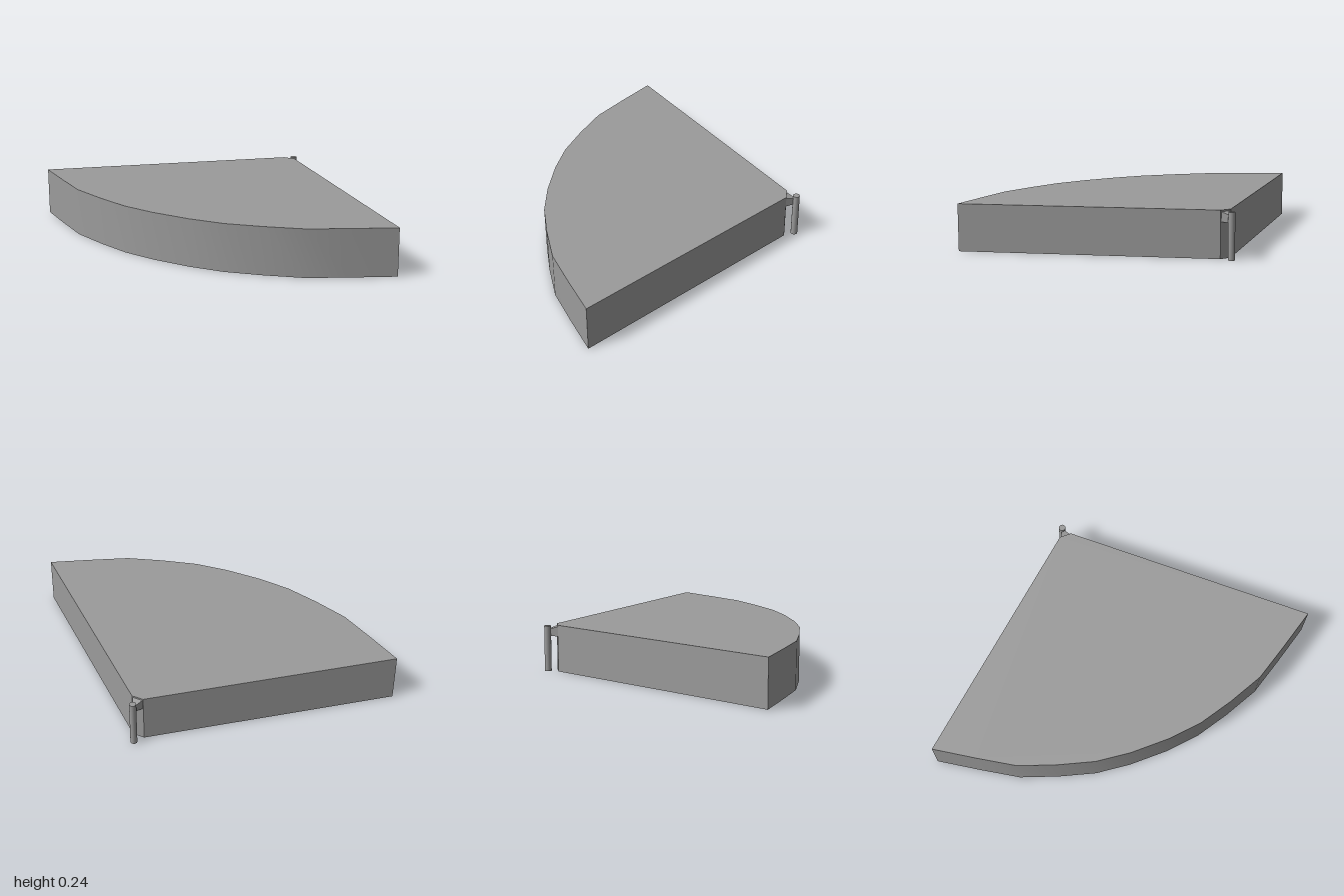
import * as THREE from 'three';
import { toCreasedNormals } from 'three/addons/utils/BufferGeometryUtils.js';

export function createModel() {
  const model = new THREE.Group();
  const material = new THREE.MeshStandardMaterial({ color: 0x9b9b9b });
  const add = (name, geometry) => {
    const mesh = new THREE.Mesh(geometry, material);
    mesh.name = name;
    model.add(mesh);
    return mesh;
  };

  // Wedge: half outline as [x, z] from the clipped back tip to the front, then mirrored
  const half = [[0.03, -0.568], [1, 0.275], [0.815, 0.393], [0.64, 0.5], [0.455, 0.565], [0.275, 0.615], [0.1, 0.634]];
  const outline = [...half, ...half.map(([x, z]) => [-x, z]).reverse()];
  const shape = new THREE.Shape(outline.map(([x, z]) => new THREE.Vector2(x, -z)));
  const wedge = new THREE.ExtrudeGeometry(shape, { depth: 0.236, bevelEnabled: false });
  wedge.rotateX(-Math.PI / 2);
  add('wedge', toCreasedNormals(wedge, 0.5));

  // Bracket: a block narrowing towards the pin, its top sloping down
  const bracket = new THREE.BoxGeometry(0.052, 0.05, 0.038).toNonIndexed();
  const p = bracket.attributes.position;
  for (let i = 0; i < p.count; i++) {
    if (p.getZ(i) > 0) continue;
    p.setX(i, p.getX(i) * 0.25);
    p.setY(i, p.getY(i) > 0 ? 0.012 : -0.023);
  }
  bracket.computeVertexNormals();
  add('bracket', bracket).position.set(0, 0.203, -0.587);

  // Upright pin behind the tip
  const pin = new THREE.CylinderGeometry(0.017, 0.017, 0.231, 16);
  add('pin', pin).position.set(0, 0.1155, -0.617);

  return model;
}
